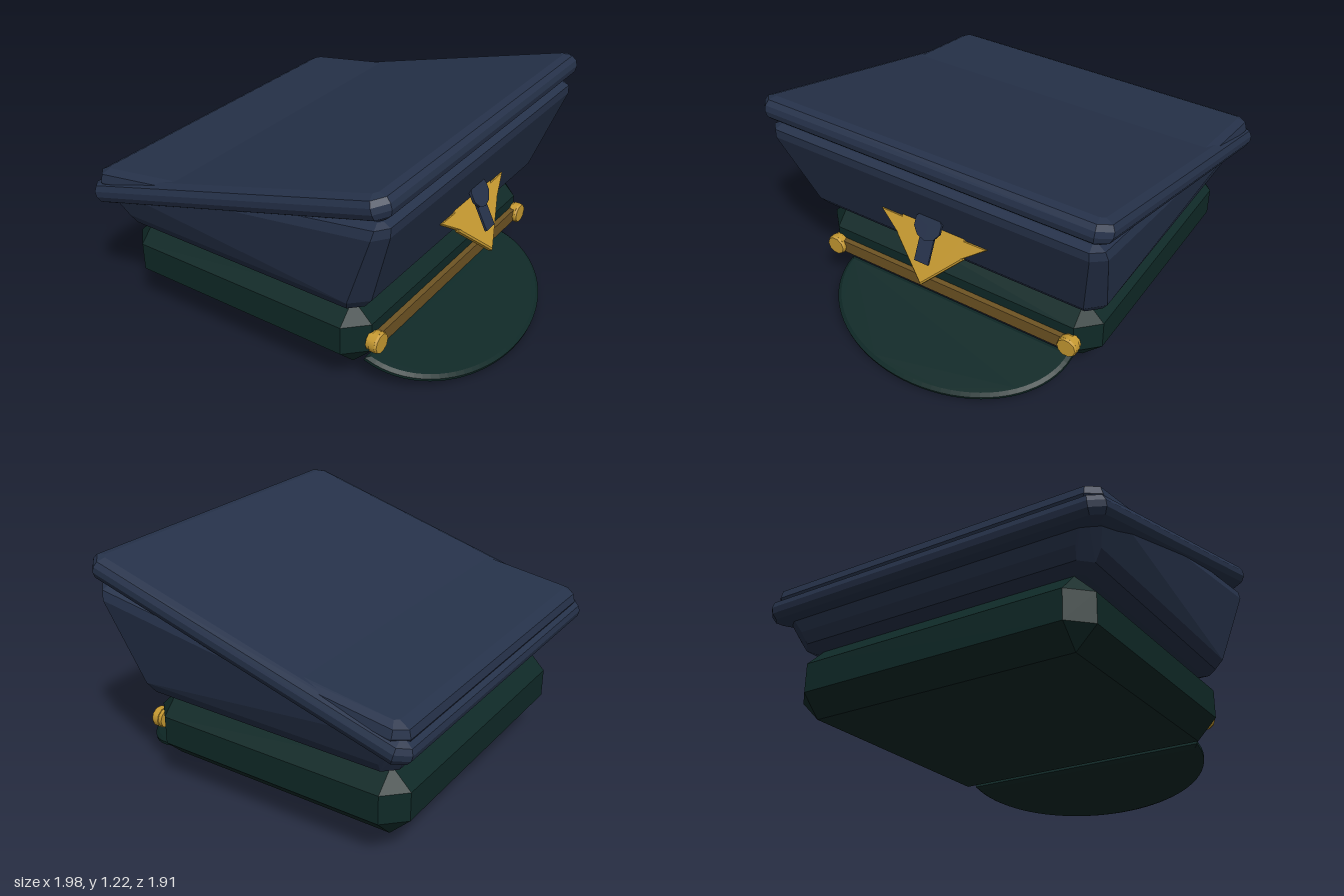
import * as THREE from 'three';
import { ConvexGeometry } from 'three/addons/geometries/ConvexGeometry.js';

// Corner points of a rectangular outline with cut corners; height runs from y0 (back) to y1 (front)
function ring(x0, y0, x1, y1, z, cut) {
  const points = [];
  for (const s of [-1, 1]) {
    for (const [x, dir] of [[x0, 1], [x1, -1]]) {
      const add = (px, pz) =>
        points.push(new THREE.Vector3(px, y0 + (y1 - y0) * (px - x0) / (x1 - x0), pz));
      add(x, s * (z - cut));
      if (cut > 0) add(x + dir * cut, s * z);
    }
  }
  return points;
}

function hull(rings) {
  return new ConvexGeometry(rings.flatMap((r) => ring(...r)));
}

function polygon(points) {
  return new THREE.Shape(points.map(([x, y]) => new THREE.Vector2(x, y)));
}

export function createModel() {
  const model = new THREE.Group();
  const material = (name, color) => {
    const m = new THREE.MeshStandardMaterial({ color });
    m.name = name;
    return m;
  };
  const navy = material('navy cloth', 0x26324a);
  const green = material('dark green', 0x0f2927);
  const brass = material('brass', 0xc89b32);
  const bronze = material('bronze', 0x6e5424);

  function part(name, geometry, mat, parent = model) {
    const mesh = new THREE.Mesh(geometry, mat);
    mesh.name = name;
    parent.add(mesh);
    return mesh;
  }

  // Head band: a block with every edge chamfered
  part('headBand', hull([
    [-0.79, 0.155, 0.46, 0.155, 0.715, 0],
    [-0.895, 0.26, 0.565, 0.26, 0.82, 0.105],
    [-0.895, 0.41, 0.565, 0.41, 0.82, 0.105],
    [-0.79, 0.515, 0.46, 0.515, 0.715, 0],
  ]), green);

  // Crown: flares upward and rises toward the front
  part('crown', hull([
    [-0.80, 0.515, 0.49, 0.515, 0.76, 0.03],
    [-0.86, 0.543, 0.56, 0.543, 0.825, 0.06],
    [-0.89, 0.60, 0.605, 0.60, 0.86, 0.08],
    [-0.97, 0.78, 0.755, 1.03, 0.93, 0.06],
    [-0.96, 0.822, 0.755, 1.076, 0.918, 0.05],
    [-0.91, 0.85, 0.715, 1.09, 0.88, 0.02],
  ]), navy);

  // Tilted top plate
  const plate = part('topPlate', hull([
    [-0.86, -0.0625, 0.86, -0.0625, 0.90, 0.02],
    [-0.90, -0.04, 0.90, -0.04, 0.94, 0.05],
    [-0.915, -0.01, 0.915, -0.01, 0.955, 0.06],
    [-0.915, 0.02, 0.915, 0.02, 0.955, 0.06],
    [-0.90, 0.047, 0.90, 0.047, 0.94, 0.05],
    [-0.86, 0.0625, 0.86, 0.0625, 0.90, 0.02],
  ]), navy);
  plate.position.set(-0.108, 0.947, 0);
  plate.rotation.z = 0.271;

  // Visor: half ellipse sloping down at the front
  const outline = new THREE.Shape();
  outline.absellipse(0, 0, 0.455, 0.67, -Math.PI / 2, Math.PI / 2, false);
  outline.closePath();
  const visorGeometry = new THREE.ExtrudeGeometry(outline, {
    depth: 0.016, bevelThickness: 0.012, bevelSize: 0.02, bevelSegments: 1, curveSegments: 20,
  });
  visorGeometry.translate(0, 0, -0.008).rotateX(-Math.PI / 2);
  const visor = part('visor', visorGeometry, green);
  visor.position.set(0.525, 0.163, 0);
  visor.rotation.z = -0.29;

  // Chin strap with a button at each end
  part('chinStrap', new THREE.BoxGeometry(0.04, 0.07, 1.4), bronze).position.set(0.575, 0.318, 0);
  for (const side of [-1, 1]) {
    const button = new THREE.Group();
    button.name = side > 0 ? 'leftButton' : 'rightButton';
    button.position.set(0.59, 0.318, side * 0.705);
    button.rotation.z = -Math.PI / 2;
    part('buttonBody', new THREE.CylinderGeometry(0.055, 0.055, 0.03, 10), brass, button);
    part('buttonRim', new THREE.CylinderGeometry(0.05, 0.055, 0.012, 10), brass, button).position.y = 0.02;
    part('buttonBase', new THREE.CylinderGeometry(0.05, 0.05, 0.03, 10), brass, button).position.y = -0.02;
    model.add(button);
  }

  // Badge: leans out from the crown at its lower tip
  const mount = new THREE.Group();
  mount.name = 'badge';
  mount.position.set(0.735, 0.66, 0);
  mount.rotation.z = 0.46;
  const badge = new THREE.Group();
  badge.rotation.y = Math.PI / 2;
  mount.add(badge);
  model.add(mount);

  const extrude = (points, depth, bevel) => new THREE.ExtrudeGeometry(polygon(points), {
    depth, bevelEnabled: bevel > 0, bevelThickness: bevel, bevelSize: bevel,
    bevelOffset: -bevel, bevelSegments: 1,
  }).translate(0, 0, -depth - bevel);
  part('badgeShield', extrude(
    [[0, -0.155], [0.19, 0.04], [0.185, 0.155], [-0.185, 0.155], [-0.19, 0.04]], 0.02, 0.008), brass, badge);
  for (const side of [-1, 1]) {
    const wing = [[side * 0.15, 0.02], [side * 0.305, 0.135], [side * 0.15, 0.135]];
    part(side > 0 ? 'rightWing' : 'leftWing', extrude(wing, 0.018, 0.004), brass, badge);
  }
  part('badgeBar', new THREE.BoxGeometry(0.08, 0.16, 0.012), navy, badge).position.set(0, 0.045, 0.028);
  const disc = part('badgeDisc', new THREE.CylinderGeometry(0.076, 0.076, 0.014, 10), navy, badge);
  disc.rotation.x = Math.PI / 2;
  disc.position.set(0, 0.156, 0.045);

  return model;
}
